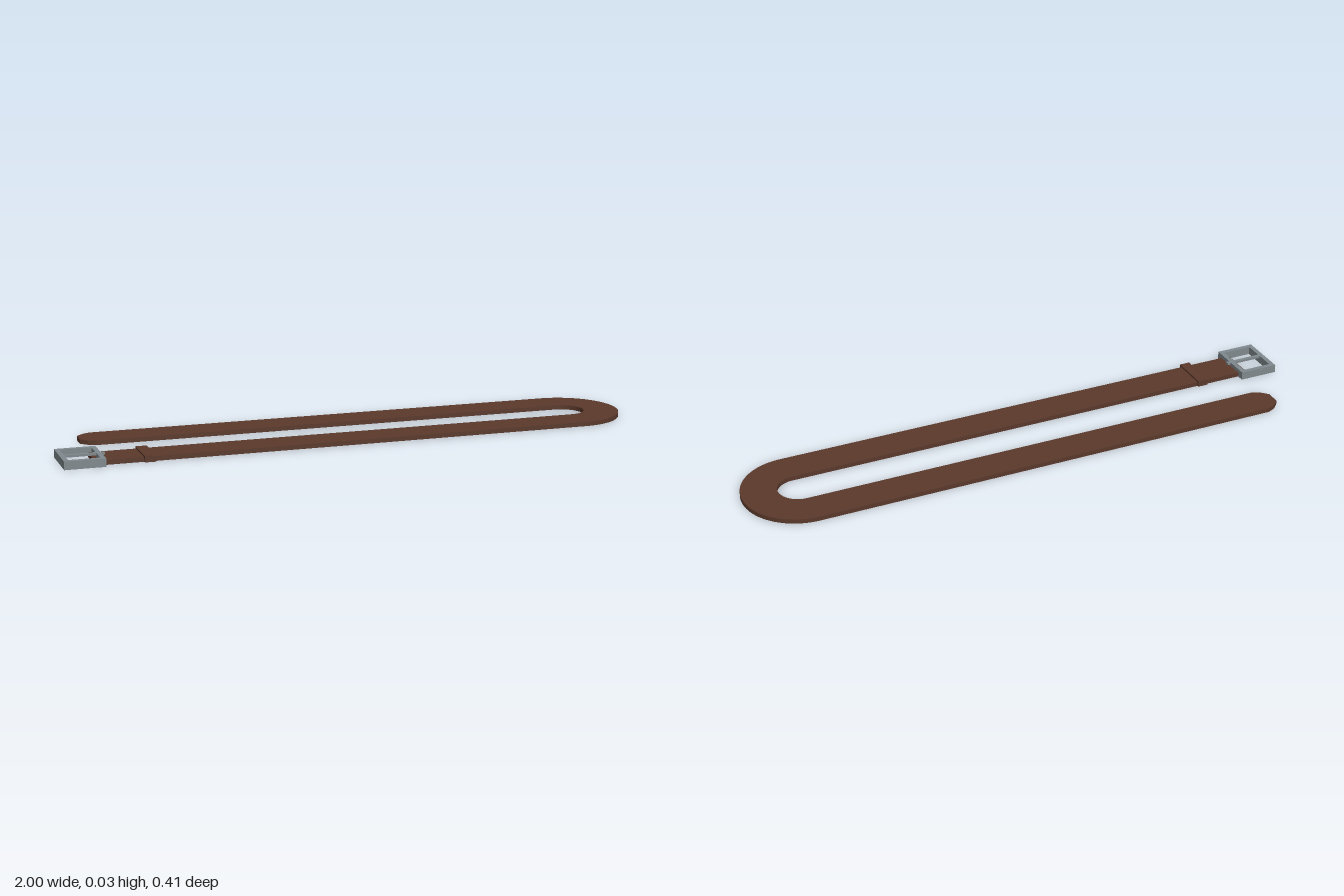
import * as THREE from 'three';

export function createModel() {
  const model = new THREE.Group();
  const leather = new THREE.MeshStandardMaterial({ color: 0x5a392b, flatShading: true });
  leather.name = 'brown leather';
  const metal = new THREE.MeshStandardMaterial({ color: 0x7f898d, flatShading: true });
  metal.name = 'grey metal';

  // Strap: a flat U drawn in plan (shape y = -z), with a clipped tip
  const thick = 0.015, midZ = -0.0125, bendX = 0.8075, outer = 0.1925, inner = 0.072;
  const strapShape = new THREE.Shape();
  strapShape.moveTo(-0.895, -midZ - outer);
  strapShape.lineTo(bendX, -midZ - outer);
  strapShape.absarc(bendX, -midZ, outer, -Math.PI / 2, Math.PI / 2, false);
  const tip = [[-0.835, 0.205], [-0.862, 0.193], [-0.885, 0.17], [-0.885, 0.12], [-0.862, 0.097], [-0.835, 0.0845]];
  tip.forEach(([x, y]) => strapShape.lineTo(x, y));
  strapShape.lineTo(bendX, -midZ + inner);
  strapShape.absarc(bendX, -midZ, inner, Math.PI / 2, -Math.PI / 2, true);
  strapShape.lineTo(-0.895, -midZ - inner);
  strapShape.closePath();
  const strapGeo = new THREE.ExtrudeGeometry(strapShape, { depth: thick, bevelEnabled: false, curveSegments: 32 });
  strapGeo.rotateX(-Math.PI / 2);
  const strap = new THREE.Mesh(strapGeo, leather);
  strap.name = 'strap';
  model.add(strap);

  // Box given by its corner limits
  const box = (name, material, x0, x1, y0, y1, z0, z1) => {
    const mesh = new THREE.Mesh(new THREE.BoxGeometry(x1 - x0, y1 - y0, z1 - z0), material);
    mesh.position.set((x0 + x1) / 2, (y0 + y1) / 2, (z0 + z1) / 2);
    mesh.name = name;
    return mesh;
  };

  // Keeper loop around the strap
  model.add(box('keeperLoop', leather, -0.737, -0.7, 0, 0.021, 0.053, 0.19));

  // Buckle: square frame and prong
  const buckle = new THREE.Group();
  buckle.name = 'buckle';
  const bar = 0.016, x0 = -1, x1 = -0.865, z0 = 0.033, z1 = 0.205, top = 0.028;
  buckle.add(
    box('frameOuterBar', metal, x0, x0 + bar, 0, top, z0, z1),
    box('frameInnerBar', metal, x1 - bar, x1, 0, top, z0, z1),
    box('frameBackBar', metal, x0 + bar, x1 - bar, 0, top, z0, z0 + bar),
    box('frameFrontBar', metal, x0 + bar, x1 - bar, 0, top, z1 - bar, z1),
    box('prong', metal, x0 + 0.006, -0.853, 0.02, top, 0.115, 0.127),
  );
  model.add(buckle);
  return model;
}
